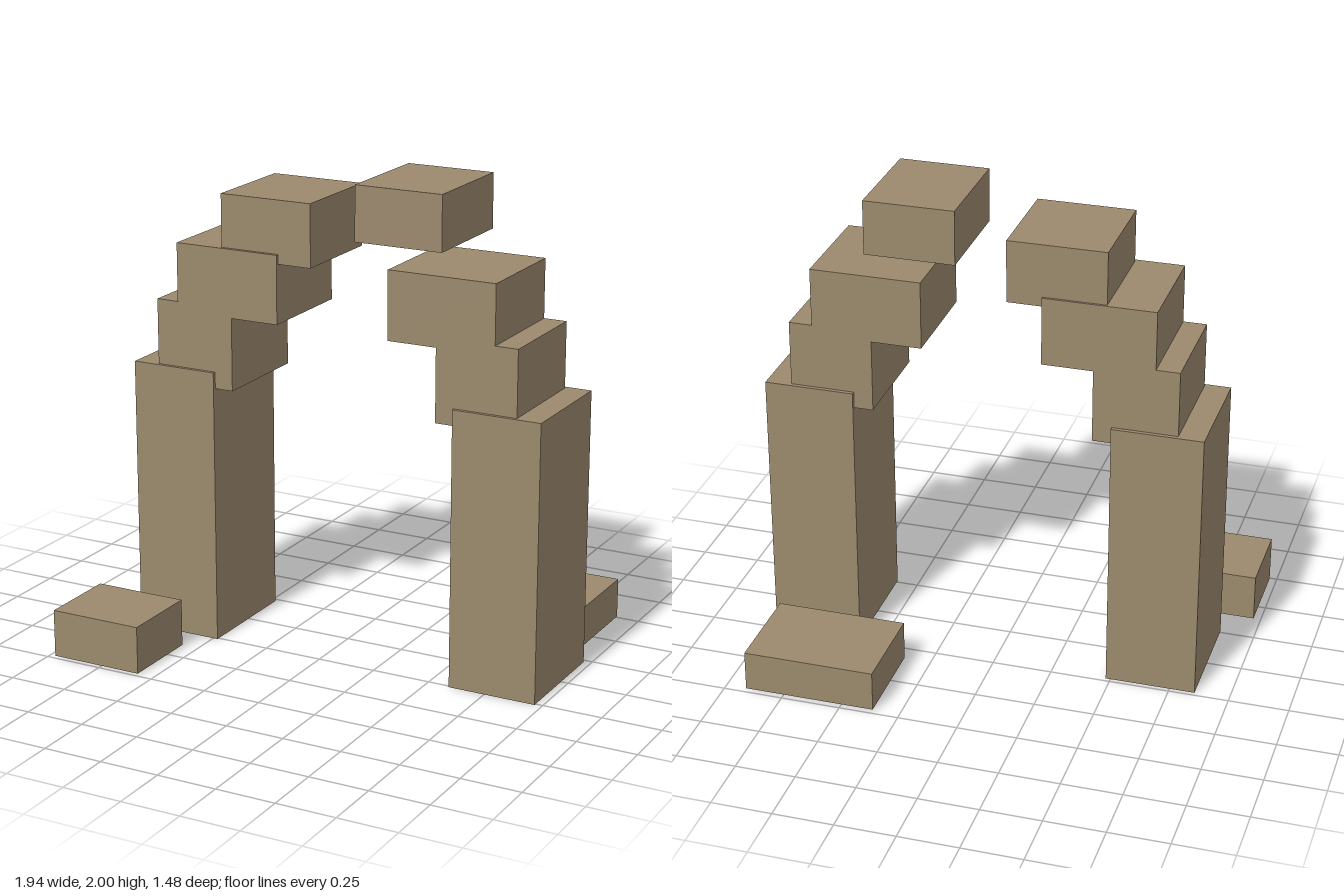
import * as THREE from 'three';

// Box shell with an open underside, given by its extents
function openBox([x0, x1], [y0, y1], [z0, z1]) {
  const g = new THREE.BoxGeometry(x1 - x0, y1 - y0, z1 - z0);
  const index = Array.from(g.index.array);
  index.splice(18, 6); // drop the bottom face
  g.setIndex(index);
  g.clearGroups();
  g.translate((x0 + x1) / 2, (y0 + y1) / 2, (z0 + z1) / 2);
  return g;
}

export function createModel() {
  const group = new THREE.Group();
  const stone = new THREE.MeshStandardMaterial({ color: 0x9b896d, side: THREE.DoubleSide });
  stone.name = 'sandstone';

  const add = (name, x, y, z) => {
    const mesh = new THREE.Mesh(openBox(x, y, z), stone);
    mesh.name = name;
    group.add(mesh);
  };

  // Pillars and stepped arch stones, the same on both sides but mirrored about x = 0.057
  const mid = 0.057;
  const blockDepth = [-0.215, 0.245];
  for (const [side, s] of [['left', 1], ['right', -1]]) {
    const span = (a, b) => [mid + s * a, mid + s * b].sort((p, q) => p - q);
    add(side + 'Pillar', span(0.537, 0.912), [0, 1.16], [-0.232, 0.26]);
    add(side + 'LowerArchStone', span(0.457, 0.805), [1.09, 1.435], blockDepth);
    add(side + 'UpperArchStone', span(0.247, 0.708), [1.395, 1.68], blockDepth);
  }

  // Uneven top stones on either side of the missing keystone
  add('leftTopStone', [0.16, 0.535], [1.773, 2], blockDepth);
  add('rightTopStone', [-0.45, -0.045], [1.64, 1.9], [-0.205, 0.23]);

  // Fallen stones on the ground
  add('frontFallenStone', [-0.97, -0.57], [0.005, 0.205], [0.393, 0.738]);
  add('backFallenStone', [0.36, 0.908], [0.01, 0.18], [-0.738, -0.335]);

  return group;
}
